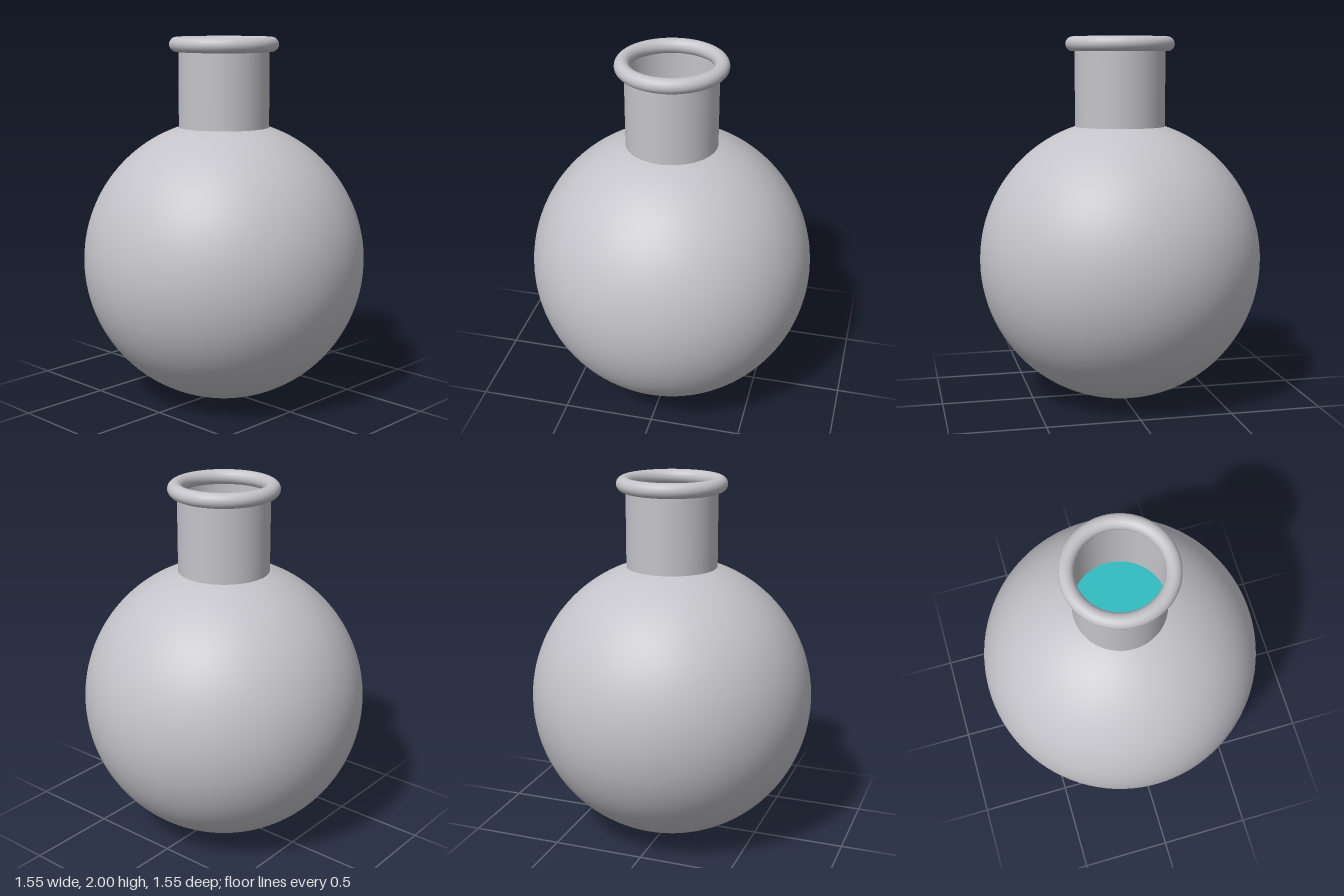
import * as THREE from 'three';

export function createModel() {
  const group = new THREE.Group();
  const glass = new THREE.MeshStandardMaterial({ color: 0xc4c3c9, side: THREE.DoubleSide });
  glass.name = 'greyGlass';
  const teal = new THREE.MeshStandardMaterial({ color: 0x30bcc0 });
  teal.name = 'tealLiquid';

  const add = (name, geometry, material, y) => {
    const mesh = new THREE.Mesh(geometry, material);
    mesh.name = name;
    mesh.position.y = y;
    group.add(mesh);
    return mesh;
  };

  const R = 0.776, centre = 0.778, neckR = 0.247;
  const opening = Math.asin(neckR / R);
  const neckBase = centre + R * Math.cos(opening), rimY = 1.96;

  // Round bowl, open where the neck joins
  add('bowl', new THREE.SphereGeometry(R, 96, 64, 0, Math.PI * 2, opening, Math.PI - opening), glass, centre);

  // Straight open neck
  const neckH = rimY - neckBase;
  add('neck', new THREE.CylinderGeometry(neckR, neckR, neckH, 64, 1, true), glass, neckBase + neckH / 2);

  // Rolled rim
  add('rim', new THREE.TorusGeometry(0.257, 0.04, 24, 96), glass, rimY).rotation.x = Math.PI / 2;

  // Liquid filling the lower part of the bowl, with a flat surface
  const liquidR = 0.74;
  add('liquid', new THREE.SphereGeometry(liquidR, 64, 32, 0, Math.PI * 2, Math.PI / 2, Math.PI / 2), teal, centre);
  add('liquidSurface', new THREE.CircleGeometry(liquidR, 64), teal, centre).rotation.x = -Math.PI / 2;

  // Bubble floating on the liquid
  add('bubble', new THREE.SphereGeometry(0.178, 48, 32), teal, centre + 0.1);

  return group;
}
